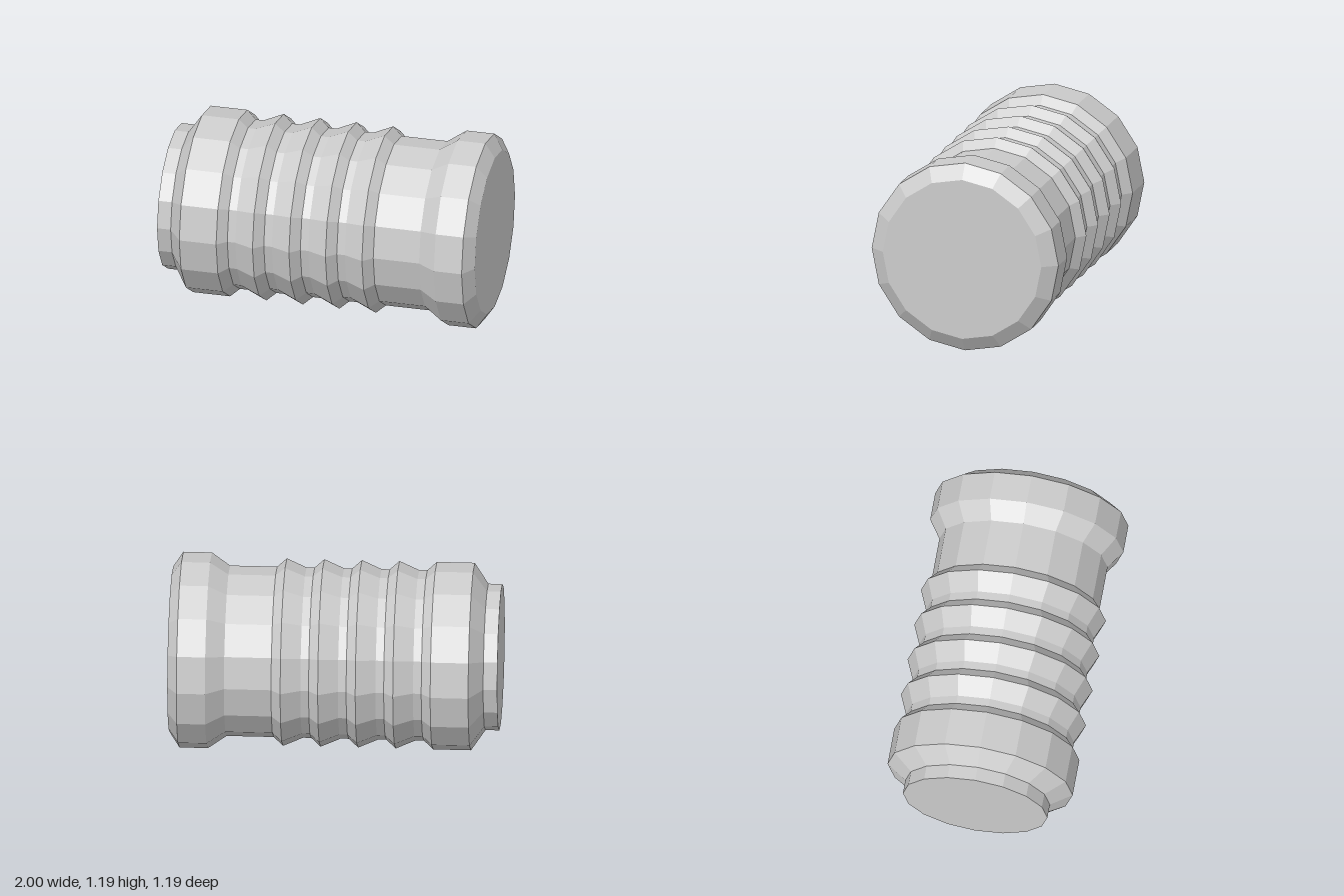
import * as THREE from 'three';

const SIDES = 16;
const AXIS_Y = 0.595;
const LOW = 0.518;   // groove radius
const HIGH = 0.57;   // rib radius

const material = new THREE.MeshStandardMaterial({ color: 0xcccccc, flatShading: true });

// Turned section along x, from [x, radius] pairs in order of increasing x
function turned(name, profile) {
  const points = profile.map(([x, r]) => new THREE.Vector2(r, x));
  const geometry = new THREE.LatheGeometry(points, SIDES).rotateZ(-Math.PI / 2);
  const mesh = new THREE.Mesh(geometry, material);
  mesh.name = name;
  mesh.position.y = AXIS_Y;
  return mesh;
}

export function createModel() {
  const group = new THREE.Group();
  group.name = 'ribbedFitting';

  // Narrow closed end stepping up to the wide collar
  group.add(turned('endCollar', [
    [-1, 0], [-1, 0.445], [-0.915, 0.445], [-0.83, HIGH], [-0.6, HIGH], [-0.543, LOW],
  ]));

  // Four saw-tooth ribs: short groove, slow rise, steep drop
  const pitch = 0.228;
  for (let i = 0; i < 4; i++) {
    const x = -0.543 + i * pitch;
    group.add(turned('rib' + (i + 1), [
      [x, LOW], [x + 0.05, LOW], [x + 0.17, HIGH], [x + pitch, LOW],
    ]));
  }

  // Plain sleeve between the ribs and the flange
  group.add(turned('sleeve', [[-0.543 + 4 * pitch, LOW], [0.655, LOW]]));

  // Flared flange with a chamfered, closed face
  group.add(turned('flange', [
    [0.655, LOW], [0.767, AXIS_Y], [0.94, AXIS_Y], [1, 0.505], [1, 0],
  ]));

  return group;
}
